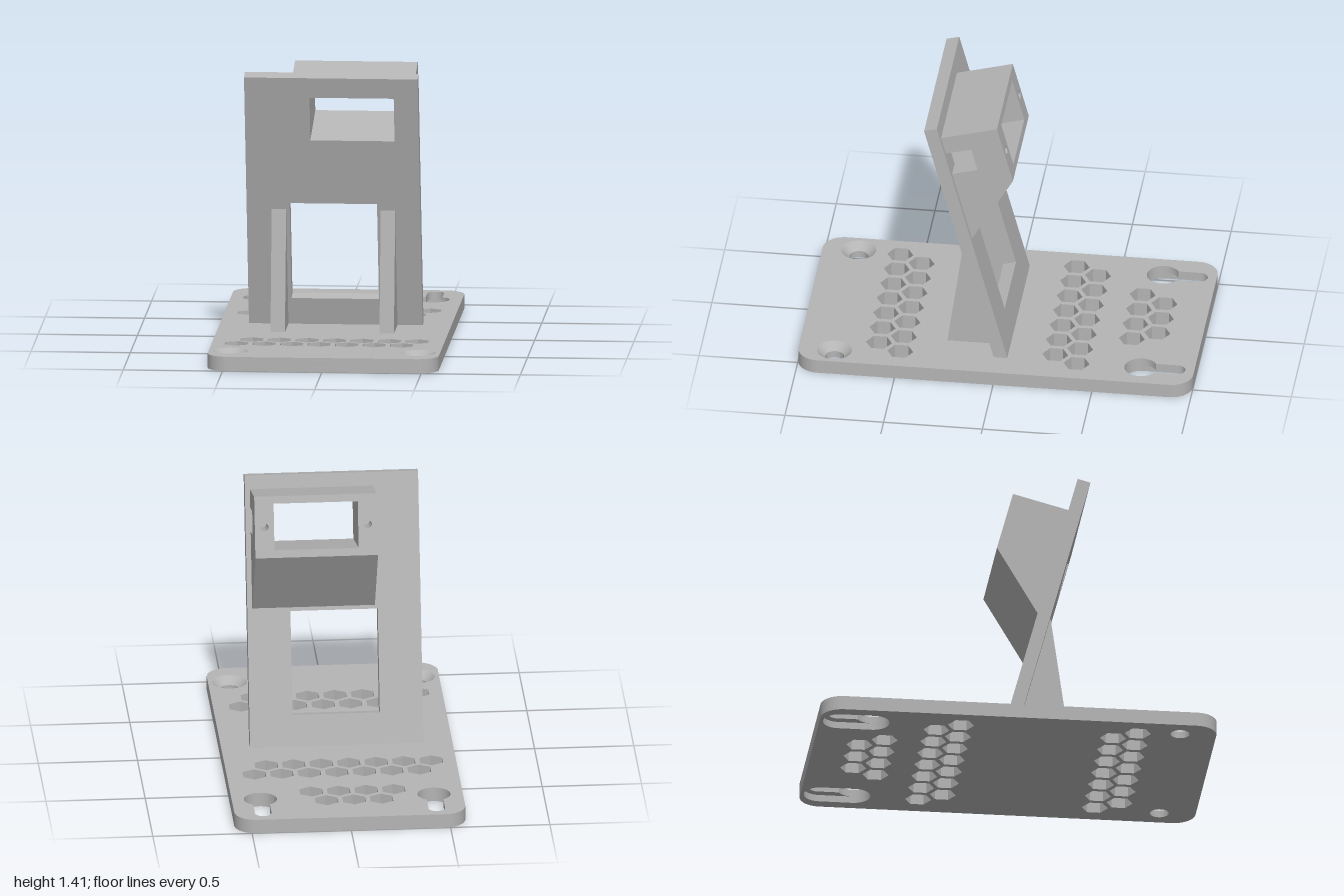
import * as THREE from 'three';
import { toCreasedNormals } from 'three/addons/utils/BufferGeometryUtils.js';

const BASE_TOP = 0.073, BASE_MID = 0.035;

// Closed path from corner points
function poly(points, Type = THREE.Path) {
  return new Type(points.map(([x, y]) => new THREE.Vector2(x, y)));
}
const rect = (x0, y0, x1, y1, Type) => poly([[x0, y0], [x1, y0], [x1, y1], [x0, y1]], Type);

function circle(x, y, r) {
  return new THREE.Path().absarc(x, y, r, 0, Math.PI * 2);
}

function hexagon(x, y, r) {
  const pts = [];
  for (let i = 0; i < 6; i++) {
    const a = Math.PI / 6 + i * Math.PI / 3;
    pts.push([x + r * Math.cos(a), y + r * Math.sin(a)]);
  }
  return poly(pts);
}

// Round head with a neck; a neck as wide as the head gives a plain slot
function keyhole(x, y, r, neck, neckY) {
  const a = Math.asin(neck / r);
  const p = new THREE.Path();
  p.absarc(x, y, r, Math.PI / 2 + a, Math.PI * 2.5 - a);
  p.absarc(x, neckY, neck, 0, Math.PI);
  p.closePath();
  return p;
}

function extrude(shape, depth) {
  const g = new THREE.ExtrudeGeometry(shape, { depth, bevelEnabled: false, curveSegments: 20 });
  return toCreasedNormals(g, 0.5);
}

function roundedPlate(w, h, r) {
  const s = new THREE.Shape();
  s.absarc(w - r, h - r, r, 0, Math.PI / 2);
  s.absarc(-w + r, h - r, r, Math.PI / 2, Math.PI);
  s.absarc(-w + r, -h + r, r, Math.PI, Math.PI * 1.5);
  s.absarc(w - r, -h + r, r, Math.PI * 1.5, Math.PI * 2);
  s.closePath();
  return s;
}

export function createModel() {
  const root = new THREE.Group();
  root.name = 'mountingStand';
  const grey = new THREE.MeshStandardMaterial({ color: 0xb4b4b4 });
  grey.name = 'grey plastic';

  const add = (parent, name, geometry) => {
    const m = new THREE.Mesh(geometry, grey);
    m.name = name;
    parent.add(m);
    return m;
  };
  const addBox = (parent, name, [x0, y0, z0], [x1, y1, z1]) => {
    const m = add(parent, name, new THREE.BoxGeometry(x1 - x0, y1 - y0, z1 - z0));
    m.position.set((x0 + x1) / 2, (y0 + y1) / 2, (z0 + z1) / 2);
    return m;
  };

  // Base in two layers: slots widen below, screw holes widen above
  const hexRows = [ // first x, z, count
    [-0.17, -0.77, 3], [-0.24, -0.65, 4],
    [-0.388, -0.405, 7], [-0.457, -0.288, 7],
    [-0.388, 0.488, 7], [-0.457, 0.605, 7],
  ];
  const base = new THREE.Group();
  base.name = 'base';
  root.add(base);
  const addLayer = (name, y0, y1, screwRadius, neck) => {
    const s = roundedPlate(0.582, 1, 0.11);
    for (const [x, z, n] of hexRows)
      for (let i = 0; i < n; i++) s.holes.push(hexagon(x + i * 0.1385, -z, 0.066));
    for (const side of [-1, 1]) {
      s.holes.push(circle(side * 0.473, -0.817, screwRadius));
      s.holes.push(keyhole(side * 0.437, 0.73, 0.083, neck, neck > 0.08 ? 0.9 : 0.913));
    }
    const m = add(base, name, extrude(s, y1 - y0));
    m.rotation.x = -Math.PI / 2;
    m.position.y = y0;
  };
  addLayer('baseLower', 0, BASE_MID, 0.048, 0.0829);
  addLayer('baseUpper', BASE_MID, BASE_TOP, 0.088, 0.042);
  for (const side of [-1, 1]) {
    const cone = add(base, 'countersink', new THREE.LatheGeometry(
      [new THREE.Vector2(0.088, BASE_TOP), new THREE.Vector2(0.048, BASE_MID)], 40));
    cone.position.set(side * 0.473, 0, 0.817);
  }

  // Leaning upright: local y runs up its front face, local z is its normal
  const upright = new THREE.Group();
  upright.name = 'upright';
  upright.position.set(0, BASE_TOP, 0.016);
  upright.rotation.x = Math.PI / 12;
  root.add(upright);

  const T = 0.067;                      // panel thickness
  const cx0 = -0.109, cx1 = 0.315;      // socket cavity
  const cy0 = 1.017, cy1 = 1.253;
  const panel = rect(-0.437, -0.02, 0.437, 1.361, THREE.Shape);
  panel.holes.push(rect(-0.22, 0.142, 0.22, 0.668), rect(cx0, cy0, cx1, cy1));
  add(upright, 'panel', extrude(panel, T)).position.z = -T;

  // Socket on the back of the panel
  const bx0 = -0.206, bx1 = 0.412, back = -0.36, top = 1.291;
  const socket = new THREE.Group();
  socket.name = 'socket';
  upright.add(socket);
  addBox(socket, 'socketTop', [bx0, cy1, back], [bx1, top, -T]);
  // Sloped underside, drawn as a side profile and swept across
  const wedge = poly([[T, 0.687], [T, cy0], [-back, cy0], [-back, 0.978]], THREE.Shape);
  const floor = add(socket, 'socketFloor', extrude(wedge, bx1 - bx0));
  floor.rotation.y = Math.PI / 2;
  floor.position.x = bx0;
  // Side walls with blind screw holes
  const holeEnd = -0.215, slotBack = -0.2;
  for (const [x0, x1] of [[bx0, cx0], [cx1, bx1]]) {
    const s = rect(x0, cy0, x1, cy1, THREE.Shape);
    s.holes.push(circle((x0 + x1) / 2, 1.135, 0.02));
    add(socket, 'socketWallRear', extrude(s, holeEnd - back)).position.z = back;
    addBox(socket, 'socketWallMiddle', [x0, cy0, holeEnd], [x1, cy1, slotBack]);
  }
  addBox(socket, 'rightWallFront', [bx0, cy0, slotBack], [cx0, cy1, -T]);
  // Cable opening through the left wall
  addBox(socket, 'cableOpeningSill', [cx1, cy0, slotBack], [bx1, 1.075, -T]);
  addBox(socket, 'cableOpeningLintel', [cx1, 1.198, slotBack], [bx1, cy1, -T]);

  // Triangular braces in front of the panel
  const brace = poly([[-0.267, 0.07], [-0.005, 0.07], [-0.17, 0.687], [-0.18, 0.687]], THREE.Shape);
  for (const x of [-0.311, 0.238]) {
    const m = add(root, 'brace', extrude(brace, 0.073));
    m.rotation.y = Math.PI / 2;
    m.position.x = x;
  }
  return root;
}
